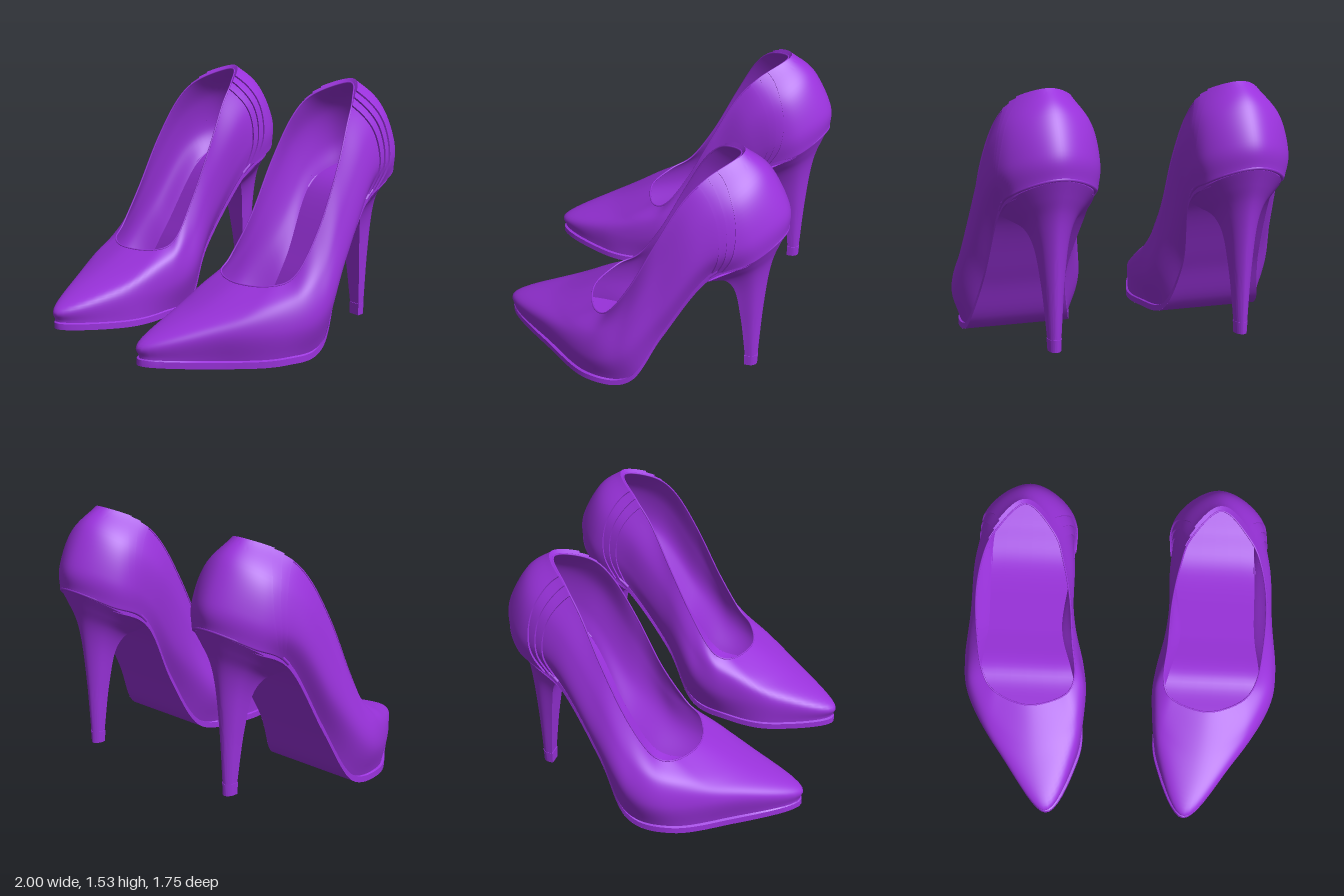
import * as THREE from 'three';
import { toCreasedNormals } from 'three/addons/utils/BufferGeometryUtils.js';

const material = new THREE.MeshStandardMaterial({ color: 0x9a32dc, side: THREE.DoubleSide });
const { lerp, clamp } = THREE.MathUtils;

// Closed ring round the left shoe. Rows run from toe to heel back: y, z, outer x, inner x.
function ring(rows) {
  const outer = rows.map(([y, z, x]) => new THREE.Vector3(x, y, z));
  const inner = rows.slice(1, -1).reverse().map(([y, z, , x]) => new THREE.Vector3(x, y, z));
  return new THREE.CatmullRomCurve3([...outer, ...inner], true, 'catmullrom', 0.5);
}
const soleRing = ring([[.06, .858, .45, .45], [.045, .5, .73, .26], [.055, .2, .92, .25], [.1, -.07, .92, .32],
  [.43, -.25, .85, .38], [.85, -.49, .81, .32], [.99, -.72, .765, .355], [1.07, -.84, .56, .56]]);
const lowRing = ring([[.145, .848, .45, .45], [.2, .52, .755, .265], [.22, .19, .96, .215], [.3, -.03, .995, .235],
  [.6, -.24, .935, .31], [.98, -.47, .88, .295], [1.13, -.705, .785, .338], [1.2, -.835, .56, .56]]);
const highRing = ring([[.285, .53, .53, .53], [.32, .37, .8, .285], [.38, .14, .945, .225], [.51, -.04, .96, .255],
  [.83, -.22, .915, .29], [1.16, -.42, .865, .29], [1.32, -.63, .765, .36], [1.4, -.725, .56, .56]]);
const rimRing = ring([[.42, .275, .56, .56], [.43, .205, .77, .34], [.49, .09, .86, .28], [.72, -.055, .88, .295],
  [1.04, -.205, .865, .305], [1.3, -.335, .81, .34], [1.43, -.45, .73, .395], [1.505, -.59, .56, .56]]);
const BREAST = 5 / 14; // place round the rings where the heel begins

// Point of the upper: u runs round the shoe, v from the sole edge up to the opening.
function upper(u, v) {
  const t = ((u % 1) + 1) % 1;
  const profile = [soleRing, lowRing, highRing, rimRing].map((r) => r.getPoint(t));
  return new THREE.CatmullRomCurve3(profile, false, 'catmullrom', 0.5).getPoint(v);
}

// Same point pushed outward along the surface normal.
function raised(u, v, d) {
  const e = 0.004;
  const du = upper(u + e, v).sub(upper(u - e, v));
  const dv = upper(u, Math.min(v + e, 1)).sub(upper(u, Math.max(v - e, 0)));
  return upper(u, v).addScaledVector(du.cross(dv).normalize(), d);
}

// Grid surface; side = -1 mirrors it, closed joins the last column to the first.
function grid(nu, nv, fn, side, closed = false) {
  const pos = [], index = [], cols = closed ? nu : nu + 1;
  for (let j = 0; j <= nv; j++) {
    for (let i = 0; i < cols; i++) {
      const p = fn(i / nu, j / nv, i, j);
      pos.push(p.x * side, p.y, p.z);
    }
  }
  for (let j = 0; j < nv; j++) {
    for (let i = 0; i < nu; i++) {
      const k = (i + 1) % cols;
      const a = j * cols + i, b = j * cols + k, c = b + cols, d = a + cols;
      if (side > 0) index.push(a, b, c, a, c, d);
      else index.push(a, c, b, a, d, c);
    }
  }
  const g = new THREE.BufferGeometry();
  g.setAttribute('position', new THREE.Float32BufferAttribute(pos, 3));
  g.setIndex(index);
  g.computeVertexNormals();
  return g;
}

// Position round the shoe where the upper reaches a given z, between the heel back and one flank.
function findU(z, v, flank) {
  let back = 0.5, front = flank;
  for (let k = 0; k < 18; k++) {
    const mid = (back + front) / 2;
    if (upper(mid, v).z < z) back = mid; else front = mid;
  }
  return back;
}

function createShoe(side) {
  const shoe = new THREE.Group();
  const add = (name, geometry) => {
    const mesh = new THREE.Mesh(geometry, material);
    mesh.name = name;
    shoe.add(mesh);
  };
  const tube = (points, radius, closed) => new THREE.TubeGeometry(
    new THREE.CatmullRomCurve3(points.map((p) => new THREE.Vector3(p.x * side, p.y, p.z)), closed),
    points.length * 2, radius, 8, closed);

  add('upper', grid(126, 28, (u, v) => upper(u, v), side, true));
  add('openingEdge', tube(Array.from({ length: 64 }, (_, i) => upper(i / 64, 1)), 0.005, true));

  // Overlapping pleats round the heel, each one thicker and further back
  for (let k = 0; k < 3; k++) {
    const d = 0.01 * (k + 1), nu = 42, nv = 26, spans = [];
    for (let j = 0; j <= nv; j++) {
      const v = Math.min(j / (nv - 1), 1);
      const z = lerp(-0.5 - 0.03 * k, -0.41 - 0.04 * k, v) - (0.38 + 0.02 * k) * v * (1 - v);
      spans.push([v, findU(z, v, 0.25), findU(z, v, 0.75)]);
    }
    const g = grid(nu, nv, (s, t, i, j) => {
      const [v, a, b] = spans[j];
      const edge = i === 0 || i === nu || j === nv;
      return raised(lerp(a, b, clamp((i - 1) / (nu - 2), 0, 1)), v, edge ? 0 : d);
    }, side);
    add('heelPleat' + (k + 1), toCreasedNormals(g, 0.7));
  }

  // Sole: insole, outsole and the slightly projecting edge between them
  const soleEdge = (u, drop, grow) => {
    const p = soleRing.getPoint(u);
    return new THREE.Vector3(p.x + clamp((p.x - 0.56) * 8, -1, 1) * grow, p.y - drop, p.z + grow);
  };
  const across = (s, t, drop, grow) =>
    soleEdge(s / 2, drop, grow).lerp(soleEdge(1 - s / 2, drop, grow), t);
  add('insole', grid(64, 6, (s, t) => across(s, t, 0, 0), side));
  add('outsole', grid(64, 6, (s, t) => across(s, 1 - t, 0.043, 0.01), side));
  const edgeRows = [[0.043, 0.01], [0.006, 0.01], [0, 0]];
  add('soleEdge', toCreasedNormals(grid(126, 2, (u, t, i, j) => soleEdge(u, ...edgeRows[j]), side, true), 0.7));

  // D-shaped heel section, taken from the sole outline behind the breast
  const outline = [];
  for (let i = 0; i <= 28; i++) {
    const p = soleRing.getPoint(lerp(BREAST, 1 - BREAST, i / 28));
    outline.push([(p.x - 0.56) / 0.25, (-0.49 - p.z) / 0.35]);
  }
  for (let i = 1; i < 8; i++) outline.push([lerp(outline[28][0], outline[0][0], i / 8), 0]);
  const n = outline.length;
  const section = (i, width, yFront, zFront, yBack, zBack) => {
    const [x, f] = outline[i];
    return new THREE.Vector3(0.56 + x * width, lerp(yFront, yBack, f), lerp(zFront, zBack, f));
  };

  // Heel levels from the top down: half width, front y and z, back y and z
  const levels = [[.256, .815, -.492, 1.06, -.862], [.2, .785, -.52, .97, -.83], [.142, .75, -.56, .87, -.797],
    [.1, .67, -.6, .75, -.775], [.064, .45, -.635, .47, -.75], [.038, .13, -.667, .13, -.733]];
  const front = new THREE.CatmullRomCurve3(levels.map(([w, y, z]) => new THREE.Vector3(w, y, z)));
  const back = new THREE.CatmullRomCurve3(levels.map(([, , , y, z]) => new THREE.Vector3(0, y, z)));
  add('heel', toCreasedNormals(grid(n, 40, (s, t, i) => {
    const a = front.getPoint(1 - t), b = back.getPoint(1 - t);
    return section(i, a.x, a.y, a.z, b.y, b.z);
  }, side, true), 0.8));

  // Heel tip with a closed bottom: half width, y, front z, back z
  const tip = [[0, .068, -.7, -.7], [.037, .068, -.664, -.733], [.041, .14, -.662, -.736], [.03, .142, -.67, -.73]];
  add('heelTip', toCreasedNormals(grid(n, 3, (s, t, i, j) => {
    const [w, y, zFront, zBack] = tip[j];
    return section(i, w, y, zFront, y, zBack);
  }, side, true), 0.6));

  // Welt where the heel meets the upper
  const welt = Array.from({ length: 30 }, (_, i) =>
    raised(lerp(BREAST, 1 - BREAST, i / 29), 0, 0.006 + 0.016 * Math.sin(Math.PI * i / 29)));
  add('heelWelt', tube(welt, 0.011, false));
  return shoe;
}

export function createModel() {
  const model = new THREE.Group();
  model.name = 'highHeels';
  for (const side of [1, -1]) {
    const shoe = createShoe(side);
    shoe.name = side > 0 ? 'leftShoe' : 'rightShoe';
    model.add(shoe);
  }
  return model;
}
